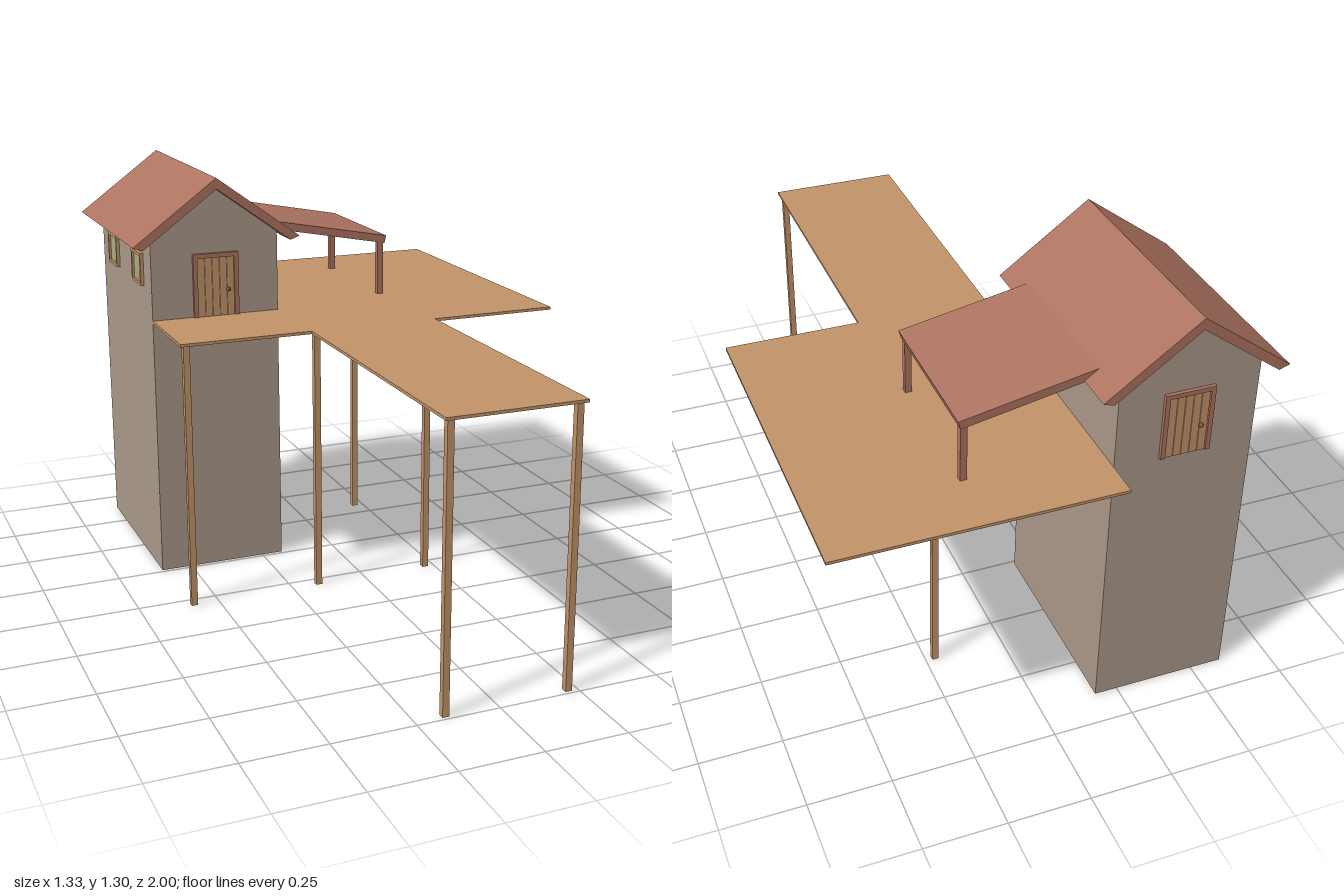
import * as THREE from 'three';

const mat = (name, color, side = THREE.FrontSide) => {
  const m = new THREE.MeshStandardMaterial({ color, side });
  m.name = name;
  return m;
};

export function createModel() {
  const wall = mat('stone wall', 0xab988a, THREE.DoubleSide);
  const wood = mat('wood', 0xc29369);
  const red = mat('red roof wood', 0xad7360);
  const glass = mat('window glass', 0xa9ab80);
  const dark = mat('knob', 0x80503f);

  const model = new THREE.Group();
  model.name = 'raisedHut';

  const add = (parent, name, geo, material, x = 0, y = 0, z = 0) => {
    const m = new THREE.Mesh(geo, material);
    m.name = name;
    m.position.set(x, y, z);
    parent.add(m);
    return m;
  };
  const box = (parent, name, material, w, h, d, x, y, z) =>
    add(parent, name, new THREE.BoxGeometry(w, h, d), material, x, y, z);
  const shape = (pts) => new THREE.Shape(pts.map((p) => new THREE.Vector2(p[0], p[1])));
  const extrude = (pts, depth) =>
    new THREE.ExtrudeGeometry(shape(pts), { depth, bevelEnabled: false });

  // Tower walls, open underneath
  const X0 = -0.6, X1 = -0.18, CX = -0.39, ZF = -0.262, ZB = -0.893;
  const EAVE = 1.113, APEX = 1.266, CZ = (ZF + ZB) / 2;
  const tower = new THREE.Group();
  tower.name = 'tower';
  model.add(tower);
  const half = (X1 - X0) / 2;
  const gable = new THREE.ShapeGeometry(
    shape([[-half, 0], [half, 0], [half, EAVE], [0, APEX], [-half, EAVE]]));
  add(tower, 'frontWall', gable, wall, CX, 0, ZF);
  add(tower, 'backWall', gable, wall, CX, 0, ZB).rotation.y = Math.PI;
  const sideGeo = new THREE.PlaneGeometry(ZF - ZB, EAVE);
  add(tower, 'leftWall', sideGeo, wall, X1, EAVE / 2, CZ).rotation.y = Math.PI / 2;
  add(tower, 'rightWall', sideGeo, wall, X0, EAVE / 2, CZ).rotation.y = -Math.PI / 2;

  // Gabled main roof
  const roofPts = [
    [0, 1.301], [-0.275, 1.099], [-0.243, 1.088], [0, APEX], [0.243, 1.088], [0.275, 1.099],
  ];
  add(model, 'mainRoof', extrude(roofPts, 0.708), red, CX, 0, -0.932);

  // Deck with walkway
  const deckPts = [ // x, -z
    [-0.6, -0.05], [-0.18, -0.05], [-0.18, -1], [0.24, -1], [0.24, -0.05],
    [0.66, -0.05], [0.66, 1], [-0.18, 1], [-0.18, 0.262], [-0.6, 0.262],
  ];
  add(model, 'deck', extrude(deckPts, 0.009), wood, 0, 0.844, 0).rotation.x = -Math.PI / 2;

  // Deck posts
  const posts = [[-0.16, 0.98], [0.22, 0.98], [-0.58, 0.035], [-0.16, 0.035], [0.22, 0.035], [0.22, -0.58]];
  for (const [x, z] of posts) box(model, 'deckPost', wood, 0.02, 0.846, 0.02, x, 0.423, z);

  // Porch roof and its posts
  const porchPts = [[-0.178, 1.132], [-0.178, 1.107], [0.233, 1.028], [0.24, 1.053], [-0.165, 1.131]];
  add(model, 'porchRoof', extrude(porchPts, 0.475), red, 0, 0, -0.816);
  for (const z of [-0.355, -0.797])
    box(model, 'porchPost', red, 0.02, 0.186, 0.02, 0.22, 0.945, z);

  // Plank door with frame and knob, built facing +z
  const makeDoor = (name, z, turn) => {
    const g = new THREE.Group();
    g.name = name;
    for (const s of [-1, 1]) box(g, 'doorJamb', red, 0.014, 0.208, 0.012, s * 0.068, 0.104, 0.005);
    box(g, 'doorLintel', red, 0.122, 0.014, 0.012, 0, 0.201, 0.005);
    box(g, 'doorBack', dark, 0.122, 0.194, 0.002, 0, 0.097, 0.001);
    for (let i = -2; i <= 2; i++)
      box(g, 'doorPlank', wood, 0.0228, 0.194, 0.006, i * 0.0244, 0.097, 0.003);
    add(g, 'doorKnob', new THREE.SphereGeometry(0.007, 12, 8), dark, 0.04, 0.088, 0.011);
    g.position.set(CX, 0.85, z);
    g.rotation.y = turn;
    model.add(g);
  };
  makeDoor('frontDoor', ZF, 0);
  makeDoor('backDoor', ZB, Math.PI);

  // Framed windows on the right wall
  for (const z of [-0.725, -0.41]) {
    const g = new THREE.Group();
    g.name = 'window';
    for (const s of [-1, 1]) {
      box(g, 'windowJamb', wood, 0.01, 0.106, 0.012, s * 0.052, 0, 0.005);
      box(g, 'windowRail', wood, 0.094, 0.01, 0.012, 0, s * 0.048, 0.005);
    }
    box(g, 'windowPane', glass, 0.094, 0.086, 0.004, 0, 0, 0.002);
    g.position.set(X0, 1.002, z);
    g.rotation.y = -Math.PI / 2;
    model.add(g);
  }
  return model;
}
